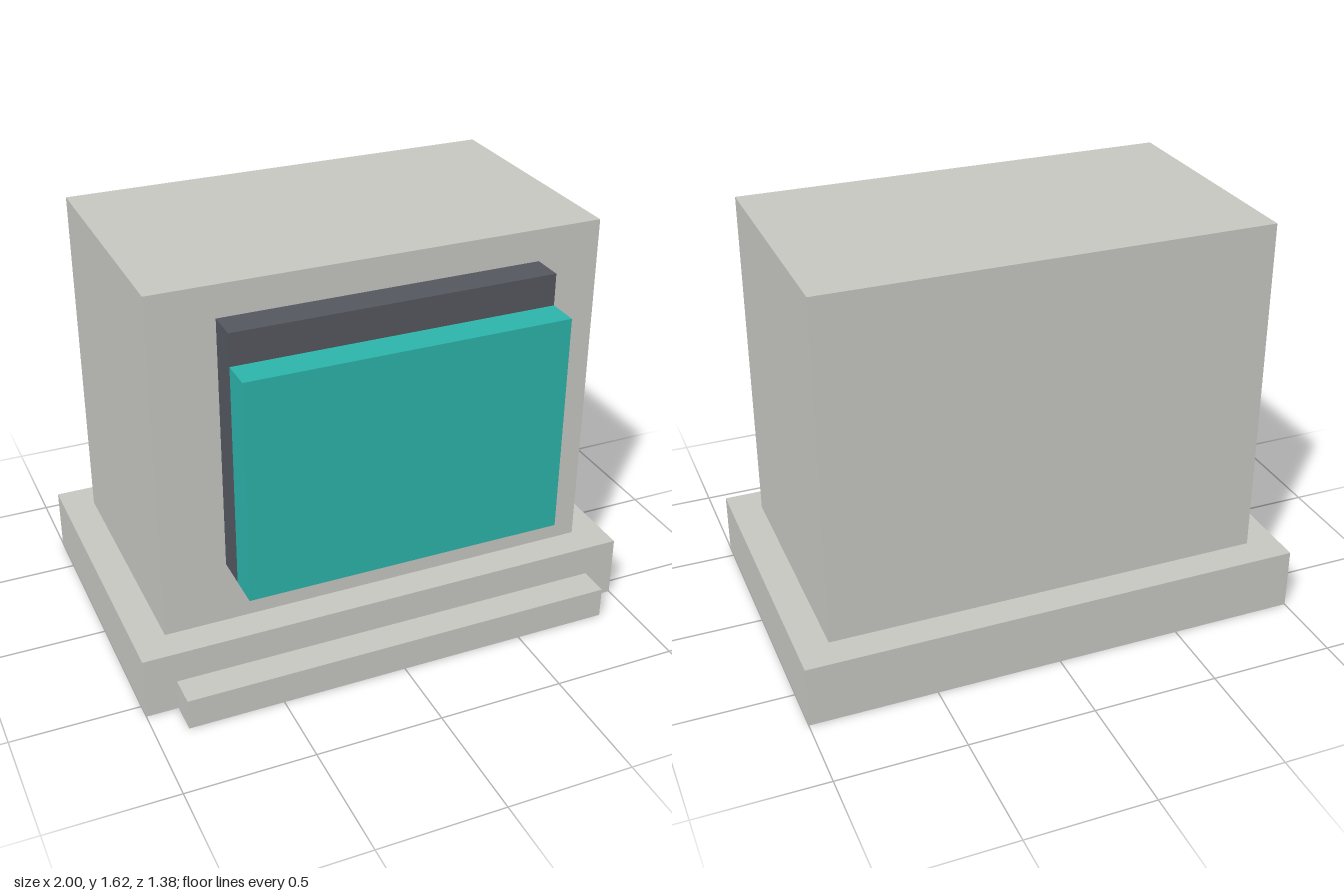
import * as THREE from 'three';

const shell = new THREE.MeshStandardMaterial({ name: 'light grey shell', color: 0xc8c8c3 });
const dark = new THREE.MeshStandardMaterial({ name: 'dark grey bezel', color: 0x555860 });
const teal = new THREE.MeshStandardMaterial({ name: 'teal screen', color: 0x2db5ab });

// Box given by its half width and its y and z extents, centred on x
function addBox(group, name, material, halfWidth, [y0, y1], [z0, z1]) {
  const mesh = new THREE.Mesh(new THREE.BoxGeometry(halfWidth * 2, y1 - y0, z1 - z0), material);
  mesh.name = name;
  mesh.position.set(0, (y0 + y1) / 2, (z0 + z1) / 2);
  group.add(mesh);
}

export function createModel() {
  const model = new THREE.Group();
  model.name = 'desktopTerminal';

  // Plinth with the low ledge in front
  addBox(model, 'base', shell, 1, [0, 0.25], [-0.6875, 0.5625]);
  addBox(model, 'frontLedge', shell, 0.875, [0, 0.125], [0.5625, 0.6875]);

  // Main housing
  addBox(model, 'housing', shell, 0.875, [0.25, 1.625], [-0.5625, 0.4375]);

  // Bezel and raised screen
  addBox(model, 'bezel', dark, 0.625, [0.5, 1.5], [0.4375, 0.5625]);
  addBox(model, 'screen', teal, 0.625, [0.5, 1.375], [0.5625, 0.6875]);

  return model;
}
